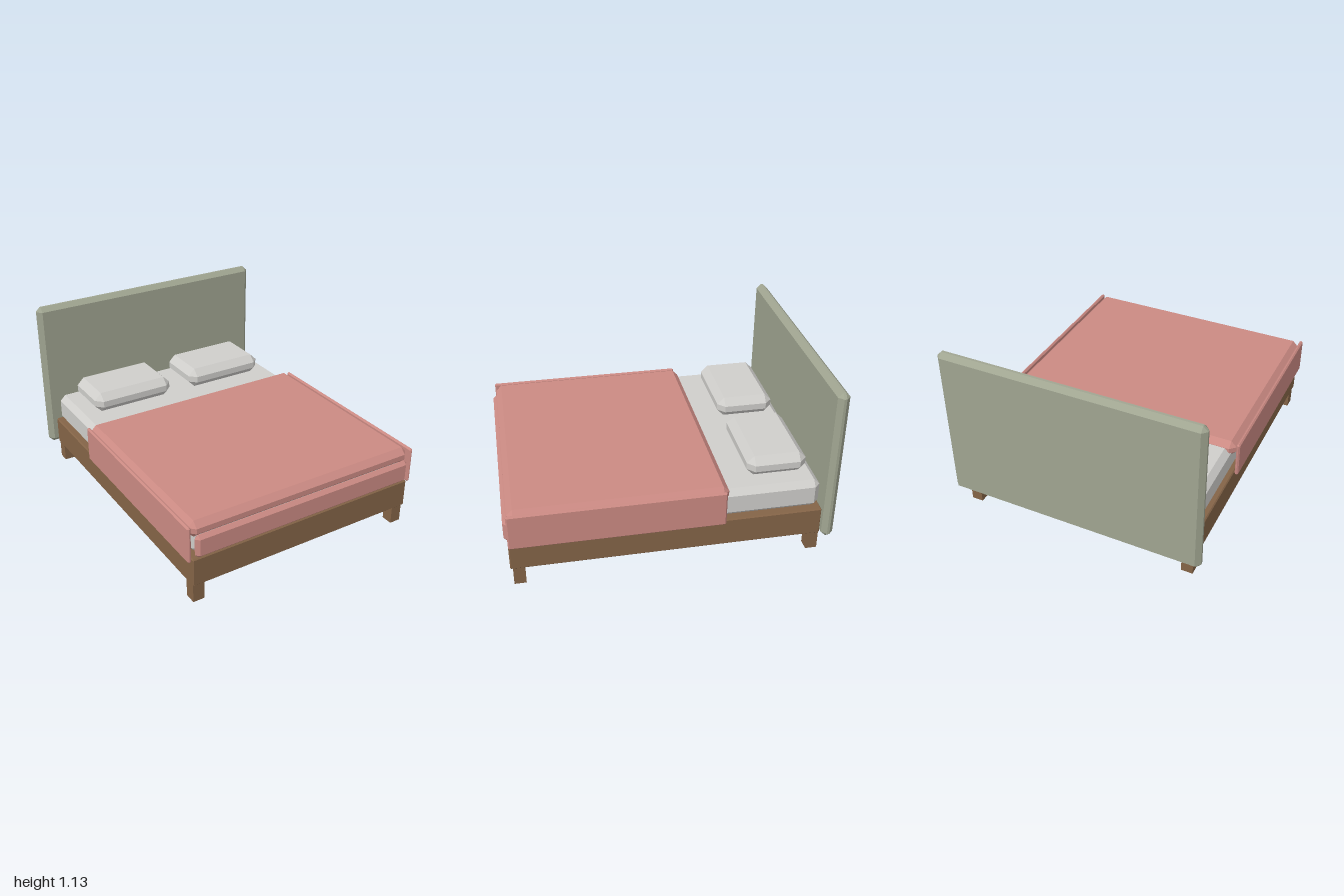
import * as THREE from 'three';
import { ConvexGeometry } from 'three/addons/geometries/ConvexGeometry.js';

// Box given by its x, y and z ranges, with every edge cut by a flat chamfer
function chamferBox([x0, x1], [y0, y1], [z0, z1], c) {
  const half = [(x1 - x0) / 2, (y1 - y0) / 2, (z1 - z0) / 2];
  const points = [];
  for (const sx of [-1, 1]) for (const sy of [-1, 1]) for (const sz of [-1, 1]) {
    // three points per corner, each lying on one face
    for (let face = 0; face < 3; face++) {
      const p = [sx, sy, sz].map((s, i) => s * (half[i] - (i === face ? 0 : c)));
      points.push(new THREE.Vector3(...p));
    }
  }
  const geometry = new ConvexGeometry(points);
  geometry.translate((x0 + x1) / 2, (y0 + y1) / 2, (z0 + z1) / 2);
  return geometry;
}

function material(name, color) {
  const m = new THREE.MeshStandardMaterial({ color });
  m.name = name;
  return m;
}

export function createModel() {
  const bed = new THREE.Group();
  bed.name = 'bed';
  const wood = material('brown wood', 0x846447);
  const sage = material('sage upholstery', 0xa0a591);
  const linen = material('off-white linen', 0xcfcecb);
  const rose = material('rose blanket', 0xcb8a83);

  const add = (name, geometry, mat) => {
    const mesh = new THREE.Mesh(geometry, mat);
    mesh.name = name;
    bed.add(mesh);
  };

  // Frame and headboard
  add('frame', chamferBox([-0.772, 0.772], [0.12, 0.303], [-0.93, 0.98], 0.007), wood);
  add('headboard', chamferBox([-0.83, 0.83], [0.12, 1.133], [-1, -0.926], 0.029), sage);

  // Square legs
  for (const [side, x] of [['right', -0.727], ['left', 0.727]]) {
    for (const [end, z] of [['Front', 0.928], ['Back', -0.888]]) {
      const leg = new THREE.BoxGeometry(0.073, 0.125, 0.073);
      leg.translate(x, 0.0625, z);
      add(`${side}${end}Leg`, leg, wood);
    }
  }

  // Mattress
  add('mattress', chamferBox([-0.75, 0.75], [0.303, 0.492], [-0.917, 0.955], 0.037), linen);

  // Blanket: top layer, foot drop and two side drops
  add('blanketTop', chamferBox([-0.776, 0.776], [0.425, 0.53], [-0.342, 0.973], 0.036), rose);
  add('blanketFootDrop', chamferBox([-0.755, 0.755], [0.31, 0.457], [0.953, 1], 0.021), rose);

  for (const [side, s] of [['right', -1], ['left', 1]]) {
    const x = [0.777 * s, 0.8 * s].sort((a, b) => a - b);
    add(`${side}BlanketDrop`, chamferBox(x, [0.288, 0.522], [-0.32, 0.98], 0.009), rose);
    // Pillows
    const cx = 0.36 * s;
    add(`${side}Pillow`, chamferBox([cx - 0.282, cx + 0.282], [0.491, 0.625], [-0.858, -0.485], 0.046), linen);
  }
  return bed;
}
